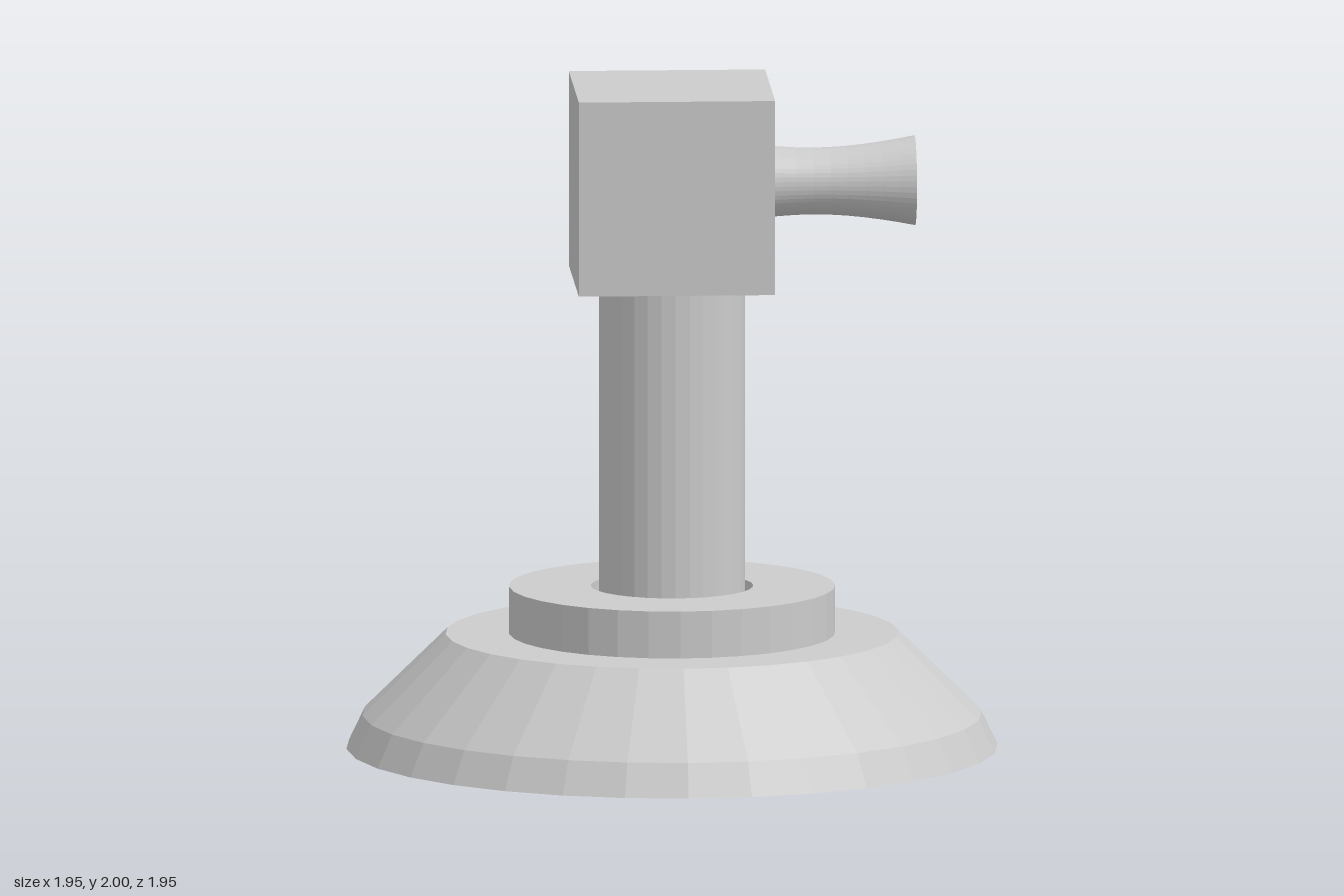
import * as THREE from 'three';

const material = new THREE.MeshStandardMaterial({ color: 0xcccccc, flatShading: true });
const openMaterial = new THREE.MeshStandardMaterial({ color: 0xcccccc, flatShading: true, side: THREE.DoubleSide });

// Turned part from [radius, height] pairs, listed from the bottom up the outside
function turned(name, profile, sides = 32, mat = material) {
  const points = profile.map(([r, y]) => new THREE.Vector2(r, y));
  const mesh = new THREE.Mesh(new THREE.LatheGeometry(points, sides), mat);
  mesh.name = name;
  return mesh;
}

export function createModel() {
  const model = new THREE.Group();
  model.name = 'pedestalTurret';

  // Wide base with a short skirt and a sloping shoulder
  model.add(turned('base', [[0, 0], [0.975, 0], [0.927, 0.1], [0.678, 0.345], [0, 0.345]]));

  // Collar, with a narrow gap around the column
  model.add(turned('collar', [[0.488, 0.345], [0.488, 0.487], [0.243, 0.487], [0.243, 0.345]]));

  // Column
  const column = new THREE.Mesh(new THREE.CylinderGeometry(0.218, 0.218, 1.08, 32), material);
  column.name = 'column';
  column.position.y = 0.345 + 0.54;
  model.add(column);

  // Cube head
  const head = new THREE.Mesh(new THREE.BoxGeometry(0.588, 0.588, 0.588), material);
  head.name = 'head';
  head.position.y = 1.706;
  model.add(head);

  // Open barrel: a hyperboloid with its waist just outside the head
  const waist = 0.42, halfLength = 0.307;
  const profile = [];
  for (let i = 0; i <= 12; i++) {
    const t = i / 6 - 1;
    profile.push([Math.hypot(0.1, 0.09 * t), t * halfLength]);
  }
  const barrel = turned('barrel', profile, 48, openMaterial);
  barrel.rotation.z = -Math.PI / 2;
  barrel.position.set(waist, 1.709, 0);
  model.add(barrel);

  return model;
}
